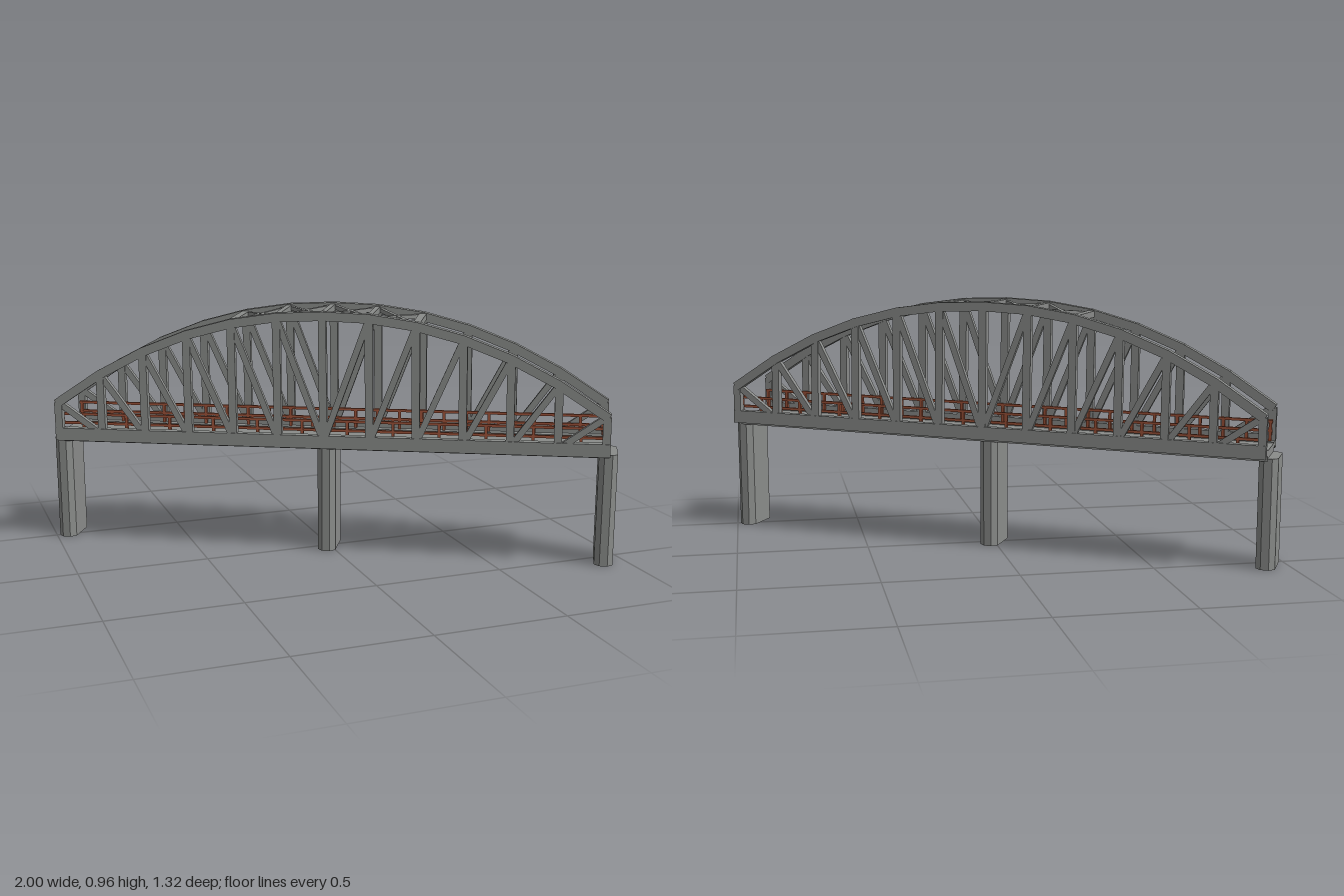
import * as THREE from 'three';

const grey = new THREE.MeshStandardMaterial({ color: 0x8a8c8a });
grey.name = 'concrete and steel grey';
const rust = new THREE.MeshStandardMaterial({ color: 0x9c5238 });
rust.name = 'rust railing';

const PANELS = 12, HALF = 1.056, SIDE = 0.13;
const STEP = (2 * HALF) / PANELS;
const V = (x, y, z) => new THREE.Vector3(x, y, z);

// Box centred at x, y, z
function box(name, w, h, d, x, y, z, mat = grey) {
  const m = new THREE.Mesh(new THREE.BoxGeometry(w, h, d), mat);
  m.position.set(x, y, z);
  m.name = name;
  return m;
}

// Straight bar from a to b, h deep and d wide
function beam(name, a, b, h, d, mat = grey, extra = 0) {
  const dir = b.clone().sub(a);
  const m = new THREE.Mesh(new THREE.BoxGeometry(dir.length() + extra, h, d), mat);
  m.position.copy(a).add(b).multiplyScalar(0.5);
  m.quaternion.setFromUnitVectors(V(1, 0, 0), dir.normalize());
  m.name = name;
  return m;
}

const nodeX = i => -HALF + i * STEP;
const archY = i => 0.582 + 0.357 * (1 - Math.pow(Math.abs(i - PANELS / 2) / (PANELS / 2), 2.15));
const LOW = 0.456;

// Arched truss with posts, and diagonals falling toward mid span
function truss(z) {
  const g = new THREE.Group();
  g.name = z > 0 ? 'frontTruss' : 'backTruss';
  const top = i => V(nodeX(i), archY(i), z);
  const low = i => V(nodeX(i), LOW, z);
  g.add(box('bottomChord', 2 * HALF + 0.03, 0.05, 0.03, 0, LOW, z));
  for (let i = 0; i <= PANELS; i++) {
    g.add(beam('post', low(i), top(i), 0.03, 0.026));
    if (i === PANELS) break;
    g.add(beam('archSegment', top(i), top(i + 1), 0.034, 0.032, grey, 0.012));
    const left = i < PANELS / 2;
    g.add(beam('diagonal', top(left ? i : i + 1), low(left ? i + 1 : i), 0.024, 0.02));
  }
  return g;
}

// Railing with two rails and evenly spaced posts
function railing(z) {
  const g = new THREE.Group();
  g.name = z > 0 ? 'frontRailing' : 'backRailing';
  for (const y of [0.532, 0.496]) g.add(box('rail', 2.12, 0.01, 0.01, 0, y, z, rust));
  const n = 24;
  for (let i = 0; i <= n; i++) {
    g.add(box('railPost', 0.011, 0.085, 0.011, -1.052 + (i * 2.104) / n, 0.494, z, rust));
  }
  return g;
}

// Pier with chamfered corners
function pier(x, height) {
  const a = 0.035, b = 0.08, c = 0.02;
  const s = new THREE.Shape([
    [a, -b + c], [a, b - c], [a - c, b], [-a + c, b],
    [-a, b - c], [-a, -b + c], [-a + c, -b], [a - c, -b],
  ].map(p => new THREE.Vector2(...p)));
  const geo = new THREE.ExtrudeGeometry(s, { depth: height, bevelEnabled: false });
  geo.rotateX(-Math.PI / 2);
  const m = new THREE.Mesh(geo, grey);
  m.position.x = x;
  m.name = 'pier';
  return m;
}

export function createModel() {
  const model = new THREE.Group();
  model.name = 'archTrussBridge';
  const span = new THREE.Group();
  span.name = 'span';

  // Deck, girder below and slightly raised footways
  span.add(box('deck', 2.14, 0.018, 0.26, 0, 0.445, 0));
  span.add(box('girder', 2.14, 0.026, 0.175, 0, 0.428, 0));
  for (const s of [-1, 1]) {
    span.add(box('footway', 2.14, 0.005, 0.045, 0, 0.456, s * 0.1075));
    span.add(truss(s * SIDE));
    span.add(railing(s * 0.108));
  }

  // Overhead struts and cross bracing over the middle four panels
  const bracing = new THREE.Group();
  bracing.name = 'overheadBracing';
  for (let i = 4; i <= 8; i++) {
    const at = (k, s) => V(nodeX(k), archY(k), s * SIDE);
    const end = i === 4 || i === 8;
    bracing.add(beam('strut', at(i, -1), at(i, 1), 0.024, end ? 0.028 : 0.02));
    if (i === 8) break;
    bracing.add(beam('brace', at(i, -1), at(i + 1, 1), 0.016, 0.016));
    bracing.add(beam('brace', at(i, 1), at(i + 1, -1), 0.016, 0.016));
  }
  span.add(bracing);

  // The span climbs gently toward its left end
  const tilt = 0.0103;
  span.rotation.z = tilt;
  span.position.x = 0.006;
  model.add(span);

  for (const x of [-1.07, 0, 1.07]) model.add(pier(x, 0.424 + tilt * x));

  // The bridge stands diagonally
  const root = new THREE.Group();
  root.name = 'bridge';
  model.rotation.y = -Math.PI / 6;
  root.add(model);
  return root;
}
